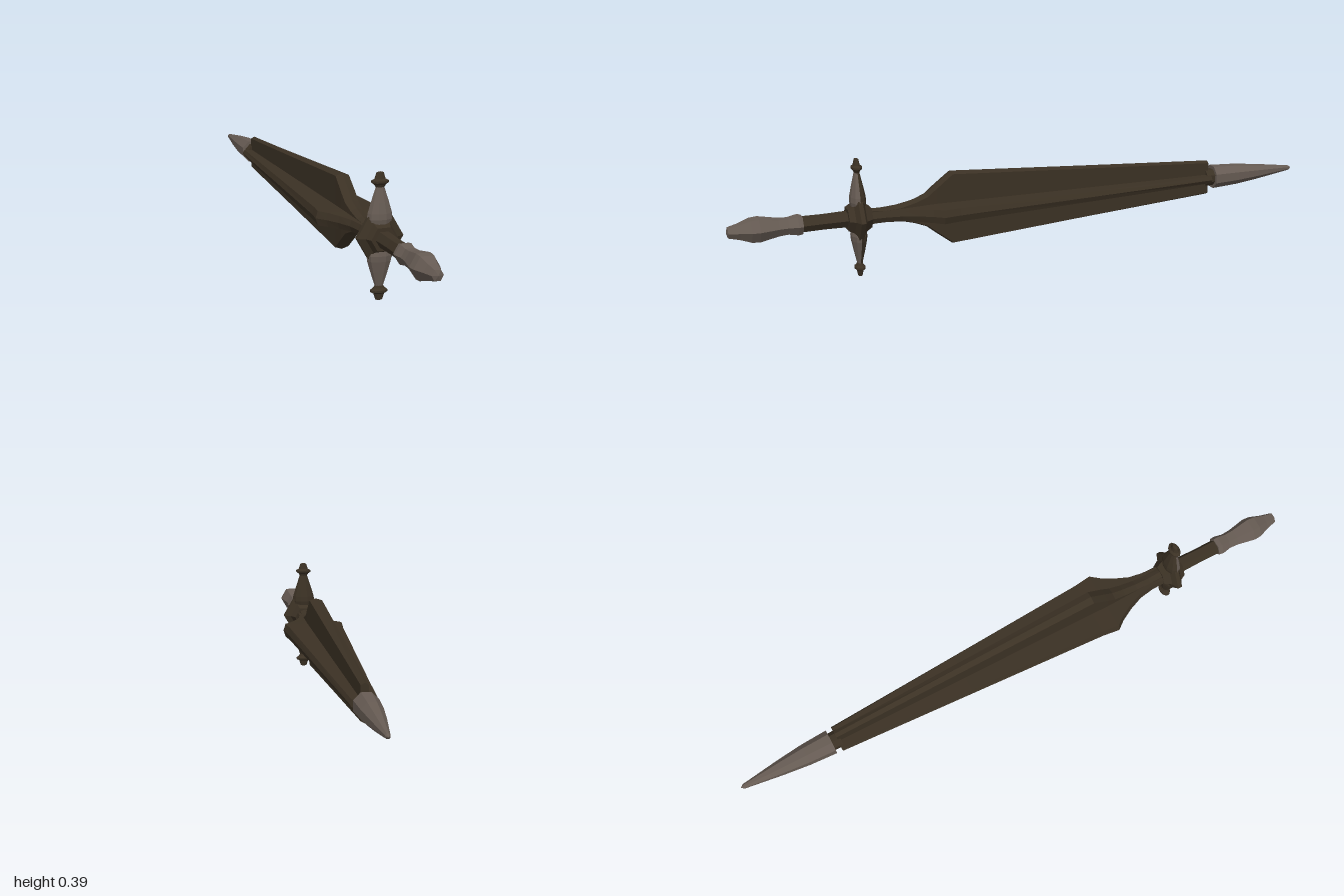
import * as THREE from 'three';

const AXIS = 0.2; // height of the long axis

export function createModel() {
  const model = new THREE.Group();
  const material = (name, color) => {
    const m = new THREE.MeshStandardMaterial({ color });
    m.name = name;
    return m;
  };
  const dark = material('dark bronze', 0x3b3124);
  const light = material('worn steel', 0x665b53);

  const add = (name, geometry, mat) => {
    const flat = geometry.index ? geometry.toNonIndexed() : geometry;
    flat.computeVertexNormals();
    const mesh = new THREE.Mesh(flat, mat);
    mesh.name = name;
    mesh.position.y = AXIS;
    model.add(mesh);
    return mesh;
  };

  // Turned part along z; profile holds [radius, z] with z rising
  const turned = (name, profile, sides, mat) => {
    const g = new THREE.LatheGeometry(profile.map(([r, z]) => new THREE.Vector2(r, z)), sides);
    return add(name, g.rotateY(Math.PI / sides).rotateX(Math.PI / 2), mat);
  };

  // Grip and hilt
  turned('pommel', [[0, 0.765], [0.032, 0.765], [0.034, 0.78], [0.028, 0.81], [0.03, 0.84],
    [0.042, 0.9], [0.04, 0.925], [0.027, 0.96], [0.018, 0.995], [0, 1]], 6, light);
  turned('handle', [[0, 0.61], [0.027, 0.61], [0.025, 0.7], [0.026, 0.77], [0, 0.77]], 6, dark);
  turned('guardHub', [[0, 0.545], [0.036, 0.545], [0.05, 0.568], [0.073, 0.578], [0.073, 0.592],
    [0.05, 0.603], [0.04, 0.622], [0, 0.622]], 6, dark);

  // Guard arms, steel on the front half and bronze on the back
  const arm = [[0.03, 0.02], [0.04, 0.055], [0.038, 0.072], [0.028, 0.105], [0.013, 0.15]];
  const finial = [[0.013, 0.148], [0.018, 0.156], [0.027, 0.162], [0.027, 0.168],
    [0.017, 0.173], [0.011, 0.192], [0, 0.195]];
  const guardPart = (name, profile, start, length, segments, depth, turn, mat) => {
    const g = new THREE.LatheGeometry(profile.map(([r, y]) => new THREE.Vector2(r, y)), segments, start, length);
    add(name, g.scale(1, 1, depth).rotateZ(turn), mat).position.z = 0.585;
  };
  for (const [side, turn] of [['upper', 0], ['lower', Math.PI]]) {
    guardPart(side + 'GuardFront', arm, -Math.PI / 2, Math.PI, 5, 0.65, turn, light);
    guardPart(side + 'GuardBack', arm, Math.PI / 2, Math.PI, 5, 0.65, turn, dark);
    guardPart(side + 'GuardFinial', finial, 0, Math.PI * 2, 10, 0.65, turn, dark);
  }

  // Four-finned blade lofted from cross sections: [z, side reach, vertical reach, half thickness]
  const stations = [
    [0.58, 0.032, 0.032, 0.018], [0.5, 0.034, 0.022, 0.017], [0.45, 0.042, 0.027, 0.018],
    [0.4, 0.062, 0.04, 0.02], [0.36, 0.084, 0.056, 0.022], [0.33, 0.107, 0.08, 0.023],
    [0.275, 0.1, 0.122, 0.022], [-0.2, 0.072, 0.09, 0.017], [-0.66, 0.045, 0.06, 0.012],
  ];
  const section = ([z, rx, ry, t]) => {
    const points = [];
    for (let k = 0; k < 4; k++) {
      const r = k % 2 ? ry : rx;
      const edge = Math.max(t, r - 0.007);
      for (const [u, v] of [[t, -t], [edge, -t], [r, 0], [edge, t]]) {
        const a = k * Math.PI / 2;
        const c = Math.round(Math.cos(a)), s = Math.round(Math.sin(a));
        points.push([u * c - v * s, u * s + v * c, z]);
      }
    }
    return points;
  };
  const positions = [], index = [], n = 16;
  stations.forEach((s) => section(s).forEach((p) => positions.push(...p)));
  const last = (stations.length - 1) * n;
  const centre = stations.length * n;
  positions.push(0, 0, stations[0][0], 0, 0, stations.at(-1)[0]);
  for (let j = 0; j < n; j++) {
    const k = (j + 1) % n;
    for (let i = 0; i < last; i += n) {
      index.push(i + j, i + n + j, i + k, i + k, i + n + j, i + n + k);
    }
    index.push(centre, j, k, centre + 1, last + k, last + j);
  }
  const blade = new THREE.BufferGeometry();
  blade.setAttribute('position', new THREE.Float32BufferAttribute(positions, 3));
  blade.setIndex(index);
  add('finnedBlade', blade, dark);

  // Point of the blade
  turned('tipCollar', [[0, -0.69], [0.03, -0.69], [0.03, -0.65], [0, -0.65]], 8, dark);
  turned('tip', [[0, -1], [0.008, -0.99], [0.026, -0.86], [0.036, -0.77], [0.041, -0.68], [0, -0.68]], 8, light);

  return model;
}
